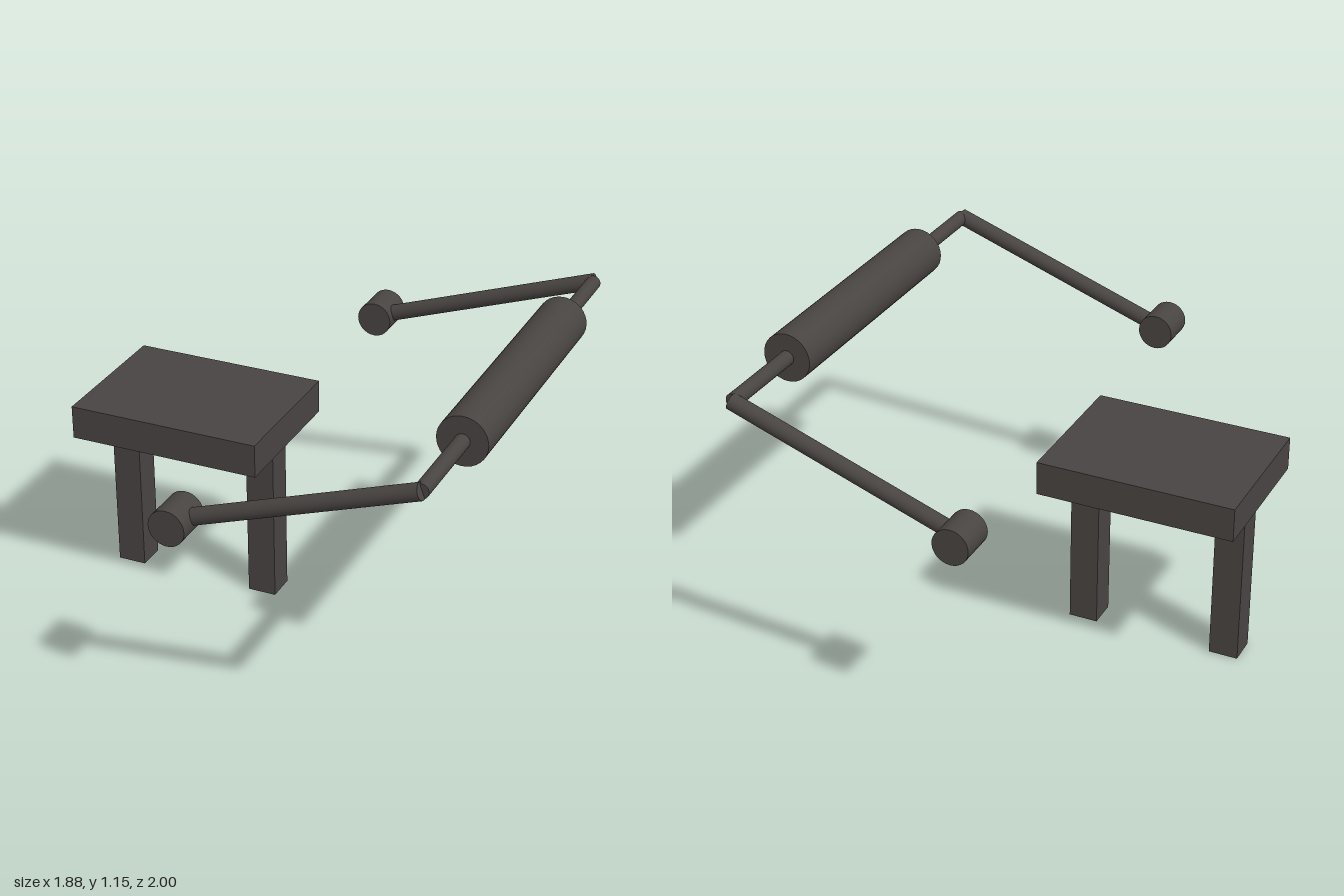
import * as THREE from 'three';

export function createModel() {
  const model = new THREE.Group();
  model.name = 'benchAndRollerFrame';
  // Local frame: x runs from bench to roller, z along the roller
  model.position.set(0.625, 0, -0.184);
  model.rotation.y = THREE.MathUtils.degToRad(20);

  const charcoal = new THREE.MeshStandardMaterial({ color: 0x484442 });
  charcoal.name = 'charcoal';

  function box(name, w, h, d, x, y, z) {
    const mesh = new THREE.Mesh(new THREE.BoxGeometry(w, h, d), charcoal);
    mesh.name = name;
    mesh.position.set(x, y, z);
    model.add(mesh);
  }

  // Capped round bar between two points
  function bar(name, radius, from, to) {
    const a = new THREE.Vector3(...from);
    const dir = new THREE.Vector3(...to).sub(a);
    const length = dir.length();
    const mesh = new THREE.Mesh(new THREE.CylinderGeometry(radius, radius, length, 32), charcoal);
    mesh.name = name;
    mesh.position.copy(a).addScaledVector(dir, 0.5);
    mesh.quaternion.setFromUnitVectors(new THREE.Vector3(0, 1, 0), dir.normalize());
    model.add(mesh);
  }

  // Bench: slab on two square legs
  const benchX = -1.208;
  box('seat', 0.725, 0.125, 0.542, benchX, 0.683, 0);
  for (const s of [-1, 1]) {
    box(s < 0 ? 'outerLeg' : 'innerLeg', 0.107, 0.622, 0.107, benchX + s * 0.273, 0.311, 0);
  }

  // Padded roller on a thin axle
  const axleY = 1.06;
  bar('roller', 0.09, [0, axleY, -0.487], [0, axleY, 0.487]);
  bar('axle', 0.027, [0, axleY, -0.835], [0, axleY, 0.835]);

  // Mirrored arms sloping down to the pivots
  for (const s of [-1, 1]) {
    const side = s < 0 ? 'back' : 'front';
    bar(side + 'Arm', 0.03, [-0.846, 0.765, s * 0.84], [0.003, 1.063, s * 0.84]);
    bar(side + 'Pivot', 0.066, [-0.846, 0.769, s * 0.782], [-0.846, 0.769, s * 0.923]);
  }

  const root = new THREE.Group();
  root.name = 'model';
  root.add(model);
  return root;
}
